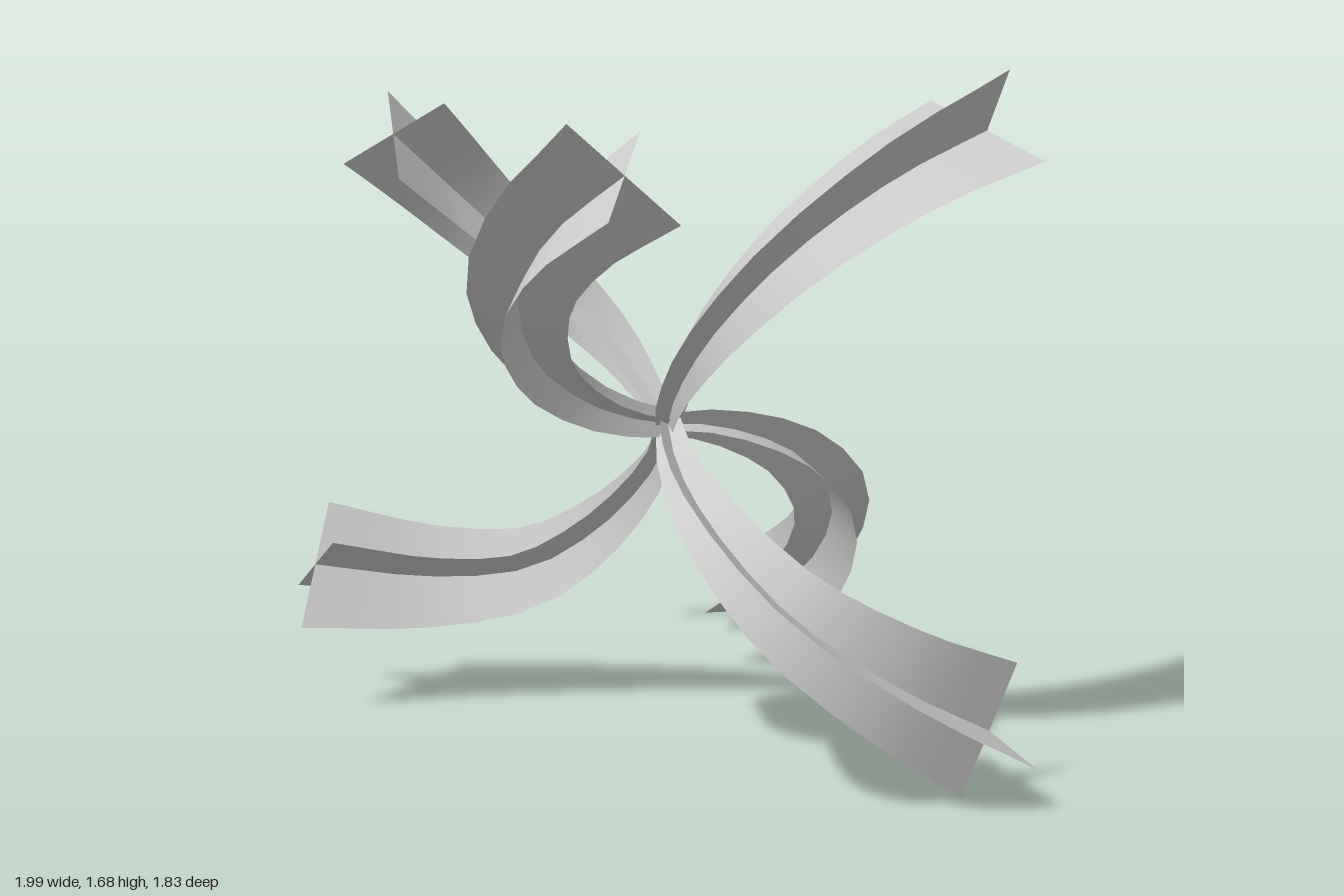
import * as THREE from 'three';

const SEGMENTS = 12;
const START_SCALE = 0.2; // vane width at the hub relative to the tip
const HUB = [0.045, 0.825, 0];

const material = new THREE.MeshStandardMaterial({ color: 0xcccccc, side: THREE.DoubleSide });

// Tapered strip swept along the curve; its direction is carried back from the tip without twist
function vaneGeometry(curve, tipHalf) {
  const half = new THREE.Vector3(...tipHalf);
  const turn = new THREE.Quaternion();
  const positions = [];
  const index = [];
  let lastTangent = curve.getTangentAt(1);
  for (let i = 0; i <= SEGMENTS; i++) {
    const t = 1 - i / SEGMENTS;
    const tangent = curve.getTangentAt(t);
    half.applyQuaternion(turn.setFromUnitVectors(lastTangent, tangent));
    lastTangent = tangent;
    const centre = curve.getPointAt(t);
    const scale = THREE.MathUtils.lerp(START_SCALE, 1, t);
    for (const side of [-1, 0, 1]) {
      positions.push(...centre.clone().addScaledVector(half, side * scale).toArray());
    }
    if (i === SEGMENTS) break;
    for (const k of [0, 1]) {
      const a = i * 3 + k;
      index.push(a, a + 1, a + 3, a + 1, a + 4, a + 3);
    }
  }
  const geometry = new THREE.BufferGeometry();
  geometry.setAttribute('position', new THREE.Float32BufferAttribute(positions, 3));
  geometry.setIndex(index);
  geometry.computeVertexNormals();
  return geometry;
}

// Arm from the hub through a few spine points, made of two vanes crossed along the spine
function makeArm(name, spine, mainHalf, crossHalf) {
  const arm = new THREE.Group();
  arm.name = name;
  const curve = new THREE.CatmullRomCurve3([HUB, ...spine].map((p) => new THREE.Vector3(...p)));
  const mainVane = new THREE.Mesh(vaneGeometry(curve, mainHalf), material);
  mainVane.name = 'mainVane';
  const crossVane = new THREE.Mesh(vaneGeometry(curve, crossHalf), material);
  crossVane.name = 'crossVane';
  arm.add(mainVane, crossVane);
  return arm;
}

export function createModel() {
  const model = new THREE.Group();
  model.name = 'curledRibbonBurst';

  // Three arms curl upwards
  model.add(makeArm('upperRightArm',
    [[-0.03, 0.865, -0.12], [-0.18, 0.965, -0.28], [-0.39, 1.12, -0.355], [-0.59, 1.33, -0.26], [-0.7, 1.5, -0.086]],
    [0.147, 0.08, 0.02], [-0.062, 0.1, -0.111]));
  model.add(makeArm('upperFrontArm',
    [[-0.06, 0.87, 0.13], [-0.155, 1, 0.33], [-0.12, 1.21, 0.57], [0, 1.36, 0.68], [0.187, 1.495, 0.76]],
    [0.015, -0.08, 0.15], [-0.09, 0.11, 0.1]));
  model.add(makeArm('upperLeftArm',
    [[0.1, 0.92, 0.11], [0.24, 1.1, 0.26], [0.42, 1.285, 0.29], [0.62, 1.445, 0.17], [0.793, 1.545, -0.04]],
    [0.06, 0.142, 0.078], [0.143, -0.062, 0.06]));

  // Three arms curl downwards
  model.add(makeArm('lowerRightArm',
    [[0, 0.72, -0.08], [-0.19, 0.51, -0.195], [-0.4, 0.375, -0.215], [-0.64, 0.35, -0.145], [-0.905, 0.398, 0]],
    [0, 0.145, -0.09], [0.098, 0.088, 0.097]));
  model.add(makeArm('lowerBackArm',
    [[0.14, 0.8, -0.13], [0.28, 0.7, -0.335], [0.335, 0.54, -0.51], [0.25, 0.345, -0.655], [0.035, 0.148, -0.763]],
    [0.072, -0.03, -0.152], [-0.085, 0.135, -0.04]));
  model.add(makeArm('lowerLeftArm',
    [[0.11, 0.75, 0.13], [0.26, 0.635, 0.305], [0.46, 0.475, 0.38], [0.68, 0.31, 0.29], [0.86, 0.165, 0.1]],
    [0.053, 0.155, -0.049], [0.13, -0.045, 0.108]));

  return model;
}
